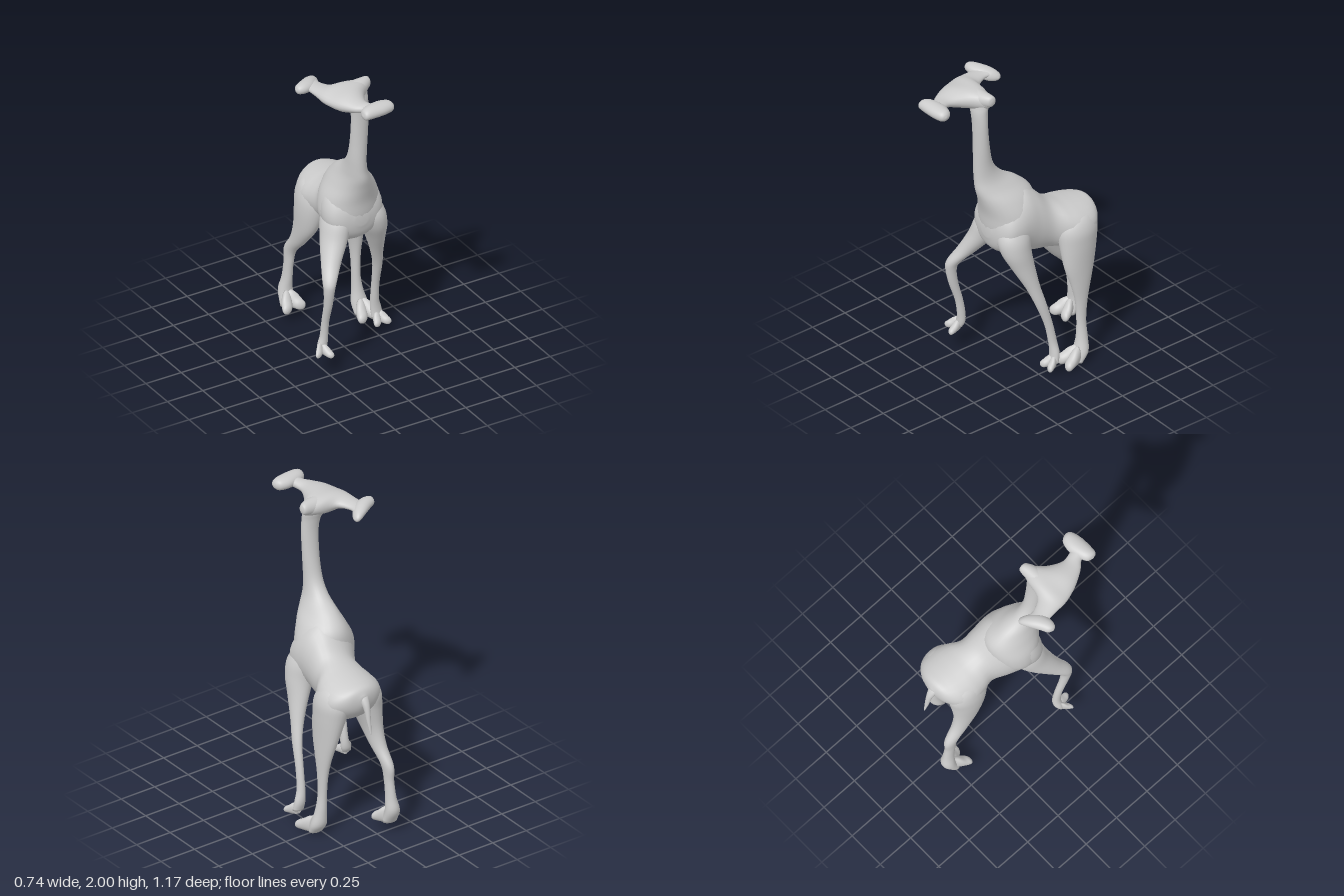
import * as THREE from 'three';

const V = (x, y, z) => new THREE.Vector3(x, y, z);
const X = V(1, 0, 0), Y = V(0, 1, 0), Z = V(0, 0, 1);
const material = new THREE.MeshStandardMaterial({ color: 0xcccccc });
const SIDES = 28, STEPS = 5;

// Smooth skin over elliptical sections { c: centre, u, v: half axes }
function skin(name, sections) {
  const n = (sections.length - 1) * STEPS;
  const first = sections[0], last = sections[sections.length - 1];
  const mid = sections[sections.length >> 1];
  if (mid.u.clone().cross(mid.v).dot(last.c.clone().sub(first.c)) < 0) sections = [...sections].reverse();
  const [C, U, W] = ['c', 'u', 'v'].map(k => new THREE.CatmullRomCurve3(sections.map(s => s[k]), false, 'catmullrom', 0.5));
  const pos = [], index = [];
  for (let i = 0; i <= n; i++) {
    const c = C.getPoint(i / n), u = U.getPoint(i / n), v = W.getPoint(i / n);
    for (let j = 0; j < SIDES; j++) {
      const a = (j / SIDES) * Math.PI * 2;
      const p = c.clone().addScaledVector(u, Math.cos(a)).addScaledVector(v, Math.sin(a));
      pos.push(p.x, p.y, p.z);
    }
  }
  for (let i = 0; i < n; i++) for (let j = 0; j < SIDES; j++) {
    const k = (j + 1) % SIDES, a = i * SIDES + j, b = i * SIDES + k;
    index.push(a, b, a + SIDES, b, b + SIDES, a + SIDES);
  }
  // Closed ends
  const e = (n + 1) * SIDES, s = C.getPoint(0), t = C.getPoint(1);
  pos.push(s.x, s.y, s.z, t.x, t.y, t.z);
  for (let j = 0; j < SIDES; j++) {
    const k = (j + 1) % SIDES;
    index.push(e, k, j, e + 1, n * SIDES + j, n * SIDES + k);
  }
  const g = new THREE.BufferGeometry();
  g.setAttribute('position', new THREE.Float32BufferAttribute(pos, 3));
  g.setIndex(index);
  g.computeVertexNormals();
  const mesh = new THREE.Mesh(g, material);
  mesh.name = name;
  return mesh;
}

// Rows of [x, y, z, half width along u, half width along v]
const loft = (name, rows, u, v) => skin(name, rows.map(([x, y, z, a, b]) => (
  { c: V(x, y, z), u: u.clone().multiplyScalar(a), v: v.clone().multiplyScalar(b) })));

// Flat-soled toe sloping from the ankle down to its tip: [part of length, width, height]
const TOE = [[0, 0.9, 1.7], [0.3, 1.05, 1.5], [0.6, 1.05, 1.1], [0.84, 0.9, 0.85], [0.96, 0.5, 0.5], [1, 0.08, 0.08]];
const toe = (x, z, [tx, ty, tz], size) => loft('toe', TOE.map(([t, w, h]) => [
  x + (tx - x) * (0.2 + 0.8 * t), ty + size * Math.max(h, 0.75), z + (tz - z) * t, w * size, h * size]), X, Y);

// Leg with two spread toes reaching from the ankle to the given sole tips
function leg(name, rows, toes, size) {
  const g = new THREE.Group();
  g.name = name;
  const [x, , z] = rows[rows.length - 1];
  g.add(loft('limb', rows, X, Z), ...toes.map(t => toe(x, z, t, size)));
  return g;
}

export function createModel() {
  const model = new THREE.Group();

  // Trunk from rump to chest
  model.add(loft('body', [
    [0.10, 0.965, -0.51, 0.02, 0.03], [0.10, 0.955, -0.48, 0.115, 0.085],
    [0.098, 0.935, -0.42, 0.182, 0.122], [0.093, 0.925, -0.33, 0.205, 0.15],
    [0.085, 0.935, -0.25, 0.187, 0.16], [0.062, 0.958, -0.17, 0.152, 0.18],
    [0.032, 1.005, -0.08, 0.17, 0.226], [0.012, 1.038, 0, 0.19, 0.24],
    [0, 1.03, 0.08, 0.2, 0.22], [0, 1.01, 0.15, 0.18, 0.165],
    [0, 1.0, 0.19, 0.125, 0.11], [0, 1.0, 0.21, 0.04, 0.04],
  ], X, Y));

  // Neck flaring into the shoulders
  model.add(loft('neck', [
    [-0.08, 1.95, 0.215, 0.1, 0.05], [-0.06, 1.9, 0.222, 0.085, 0.048], [-0.04, 1.85, 0.23, 0.065, 0.045],
    [-0.03, 1.76, 0.23, 0.058, 0.043], [-0.03, 1.6, 0.22, 0.055, 0.05],
    [-0.033, 1.46, 0.203, 0.056, 0.066], [-0.028, 1.37, 0.168, 0.065, 0.1],
    [-0.015, 1.3, 0.115, 0.09, 0.152], [0, 1.22, 0.066, 0.137, 0.18],
    [0, 1.12, 0.045, 0.182, 0.175], [0, 1.0, 0.045, 0.192, 0.16], [0, 0.9, 0.045, 0.14, 0.11],
  ], X, Z));

  // Flat head: left and right edge points [x, z], then mid height and half thickness
  const head = [
    [-0.305, 0.03, -0.2, 0.0, 1.94, 0.024], [-0.305, 0.09, -0.2, 0.06, 1.94, 0.025],
    [-0.3, 0.16, -0.15, 0.135, 1.94, 0.036], [-0.297, 0.22, -0.03, 0.16, 1.937, 0.057],
    [-0.285, 0.275, 0.05, 0.205, 1.935, 0.064], [-0.255, 0.355, -0.035, 0.295, 1.937, 0.06],
    [-0.205, 0.44, -0.088, 0.39, 1.945, 0.036], [-0.165, 0.485, -0.085, 0.45, 1.952, 0.03],
    [-0.15, 0.54, -0.06, 0.52, 1.96, 0.034],
  ];
  model.add(skin('head', head.map(([lx, lz, rx, rz, y, h]) => (
    { c: V((lx + rx) / 2, y, (lz + rz) / 2), u: V((rx - lx) / 2, 0, (rz - lz) / 2), v: V(0, h, 0) }))));
  model.add(loft('leftEar', [
    [0.056, 1.952, 0.2, 0.01, 0.012], [0.042, 1.952, 0.2, 0.032, 0.036],
    [-0.02, 1.945, 0.215, 0.05, 0.05], [-0.12, 1.94, 0.225, 0.06, 0.055],
  ], Z, Y));
  model.add(loft('muzzle', [
    [-0.203, 1.958, 0.545, 0.008, 0.006], [-0.19, 1.96, 0.543, 0.036, 0.03],
    [-0.15, 1.963, 0.535, 0.05, 0.04], [-0.07, 1.962, 0.525, 0.058, 0.042],
    [-0.01, 1.96, 0.524, 0.046, 0.038], [0.014, 1.96, 0.528, 0.028, 0.024], [0.023, 1.96, 0.53, 0.006, 0.006],
  ], Z, Y));
  model.add(loft('rightEar', [
    [-0.377, 1.945, 0.058, 0.006, 0.006], [-0.362, 1.945, 0.055, 0.03, 0.027],
    [-0.32, 1.945, 0.047, 0.046, 0.036], [-0.26, 1.94, 0.022, 0.055, 0.037],
    [-0.21, 1.925, -0.008, 0.046, 0.034], [-0.185, 1.917, -0.025, 0.028, 0.021], [-0.174, 1.914, -0.03, 0.005, 0.005],
  ], Z, Y));

  // Forelegs: the right one is lifted, the left one trails
  model.add(leg('rightForeleg', [
    [-0.07, 1.12, 0.04, 0.04, 0.06], [-0.1, 1.0, 0.075, 0.092, 0.11], [-0.142, 0.88, 0.115, 0.085, 0.097],
    [-0.205, 0.76, 0.185, 0.062, 0.066],
    [-0.255, 0.67, 0.25, 0.044, 0.047], [-0.267, 0.61, 0.265, 0.034, 0.036], [-0.265, 0.5, 0.248, 0.026, 0.031],
    [-0.261, 0.37, 0.21, 0.023, 0.026], [-0.26, 0.26, 0.192, 0.025, 0.027], [-0.27, 0.2, 0.19, 0.033, 0.027],
    [-0.28, 0.165, 0.197, 0.03, 0.02],
  ], [[-0.335, 0.145, 0.255], [-0.255, 0.138, 0.288]], 0.023));
  model.add(leg('leftForeleg', [
    [0.09, 1.13, 0.04, 0.04, 0.06], [0.115, 1.0, 0.085, 0.092, 0.108], [0.145, 0.89, 0.093, 0.085, 0.1],
    [0.179, 0.77, 0.063, 0.06, 0.076],
    [0.217, 0.63, 0.02, 0.039, 0.048], [0.247, 0.5, -0.02, 0.028, 0.037], [0.262, 0.35, -0.065, 0.024, 0.028],
    [0.27, 0.22, -0.09, 0.026, 0.028], [0.282, 0.14, -0.096, 0.036, 0.029], [0.287, 0.08, -0.085, 0.038, 0.026],
  ], [[0.25, 0.046, -0.015], [0.332, 0.046, -0.012]], 0.025));

  // Hind legs
  model.add(leg('leftHindLeg', [
    [0.15, 1.05, -0.34, 0.03, 0.04], [0.172, 1.005, -0.335, 0.095, 0.105], [0.2, 0.93, -0.33, 0.107, 0.138],
    [0.225, 0.83, -0.322, 0.087, 0.13], [0.248, 0.68, -0.313, 0.06, 0.108],
    [0.264, 0.55, -0.313, 0.041, 0.072], [0.27, 0.42, -0.313, 0.03, 0.043], [0.272, 0.28, -0.311, 0.027, 0.032],
    [0.28, 0.17, -0.308, 0.036, 0.037], [0.287, 0.08, -0.295, 0.053, 0.045], [0.287, 0.015, -0.265, 0.048, 0.03],
  ], [[0.232, 0.002, -0.155], [0.34, 0.002, -0.143]], 0.035));
  model.add(leg('rightHindLeg', [
    [0.04, 1.05, -0.34, 0.03, 0.04], [0.015, 1.005, -0.335, 0.095, 0.105], [-0.015, 0.93, -0.33, 0.1, 0.138],
    [-0.035, 0.83, -0.33, 0.09, 0.128], [-0.057, 0.69, -0.355, 0.062, 0.1],
    [-0.067, 0.57, -0.415, 0.046, 0.068], [-0.075, 0.46, -0.5, 0.034, 0.052], [-0.078, 0.36, -0.515, 0.028, 0.038],
    [-0.08, 0.25, -0.53, 0.032, 0.039], [-0.086, 0.16, -0.54, 0.046, 0.044], [-0.09, 0.07, -0.505, 0.05, 0.035],
  ], [[-0.148, 0.056, -0.408], [-0.035, 0.056, -0.415]], 0.035));

  // Tapered hanging tail
  model.add(loft('tail', [
    [0.095, 1.03, -0.41, 0.03, 0.03], [0.095, 1.0, -0.465, 0.036, 0.036], [0.095, 0.96, -0.502, 0.028, 0.03],
    [0.095, 0.91, -0.528, 0.019, 0.02], [0.095, 0.84, -0.545, 0.014, 0.014], [0.095, 0.755, -0.567, 0.004, 0.004],
  ], X, Z));

  return model;
}
